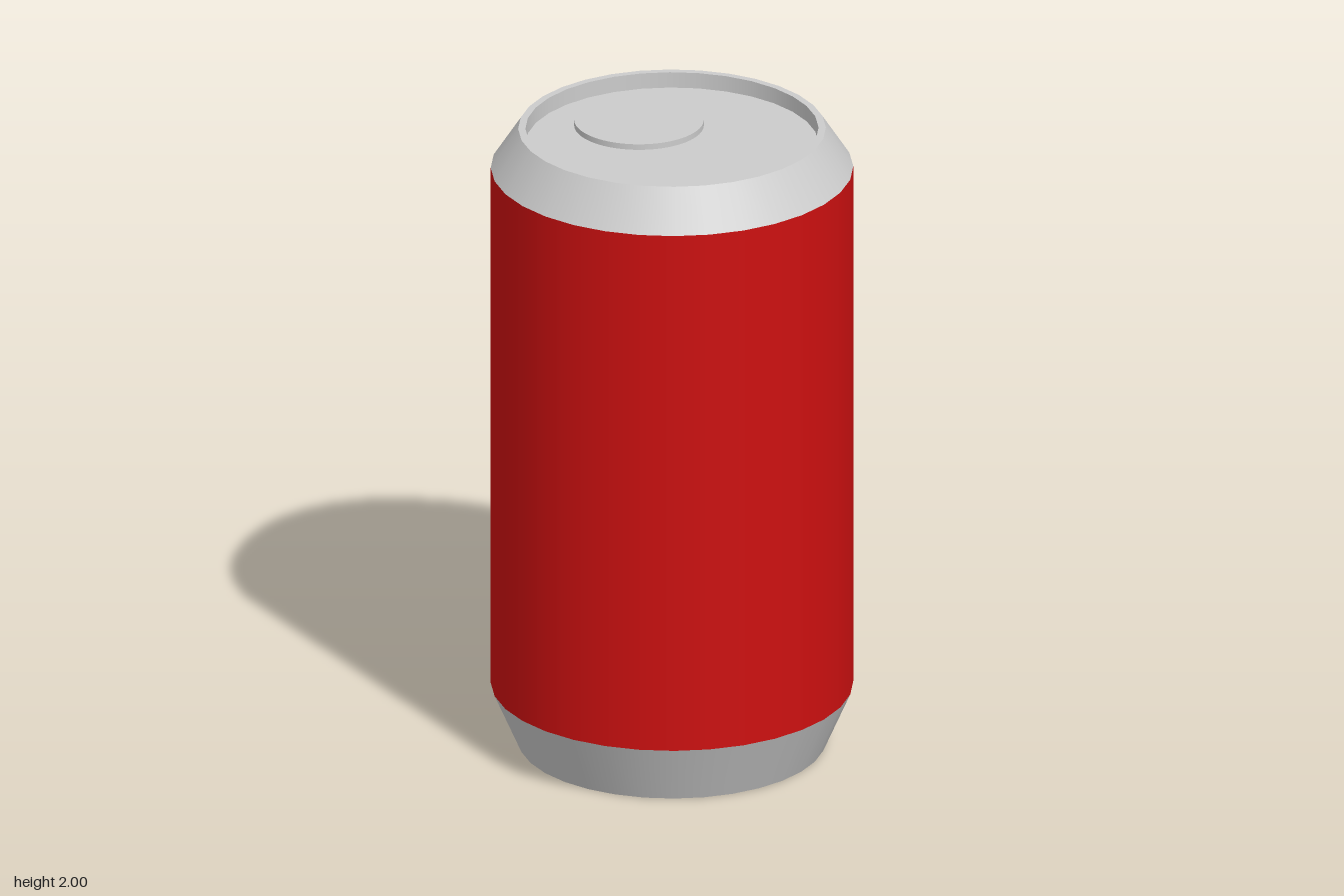
import * as THREE from 'three';

const SIDES = 32;
const grey = new THREE.MeshStandardMaterial({ color: 0xcccccc });
const red = new THREE.MeshStandardMaterial({ color: 0xcc1010 });

// One ring surface between two [radius, height] points; separate rings keep the edges sharp
function ring(name, from, to, material = grey) {
  const points = [new THREE.Vector2(...from), new THREE.Vector2(...to)];
  const mesh = new THREE.Mesh(new THREE.LatheGeometry(points, SIDES), material);
  mesh.name = name;
  return mesh;
}

export function createModel() {
  const can = new THREE.Group();
  can.name = 'drinkCan';

  // Shell, from the middle of the base up and over the rim to the recessed lid
  can.add(
    ring('base', [0, 0], [0.465, 0]),
    ring('lowerTaper', [0.465, 0], [0.548, 0.19]),
    ring('body', [0.548, 0.19], [0.548, 1.873], red),
    ring('upperTaper', [0.548, 1.873], [0.465, 2]),
    ring('rim', [0.465, 2], [0.443, 2]),
    ring('rimInnerWall', [0.443, 2], [0.443, 1.95]),
    ring('lid', [0.443, 1.95], [0, 1.95]),
  );

  // Raised round tab towards the back of the lid
  const tab = new THREE.Mesh(new THREE.CylinderGeometry(0.196, 0.196, 0.018, 64), grey);
  tab.name = 'openingTab';
  tab.position.set(0, 1.959, -0.176);
  can.add(tab);

  return can;
}
